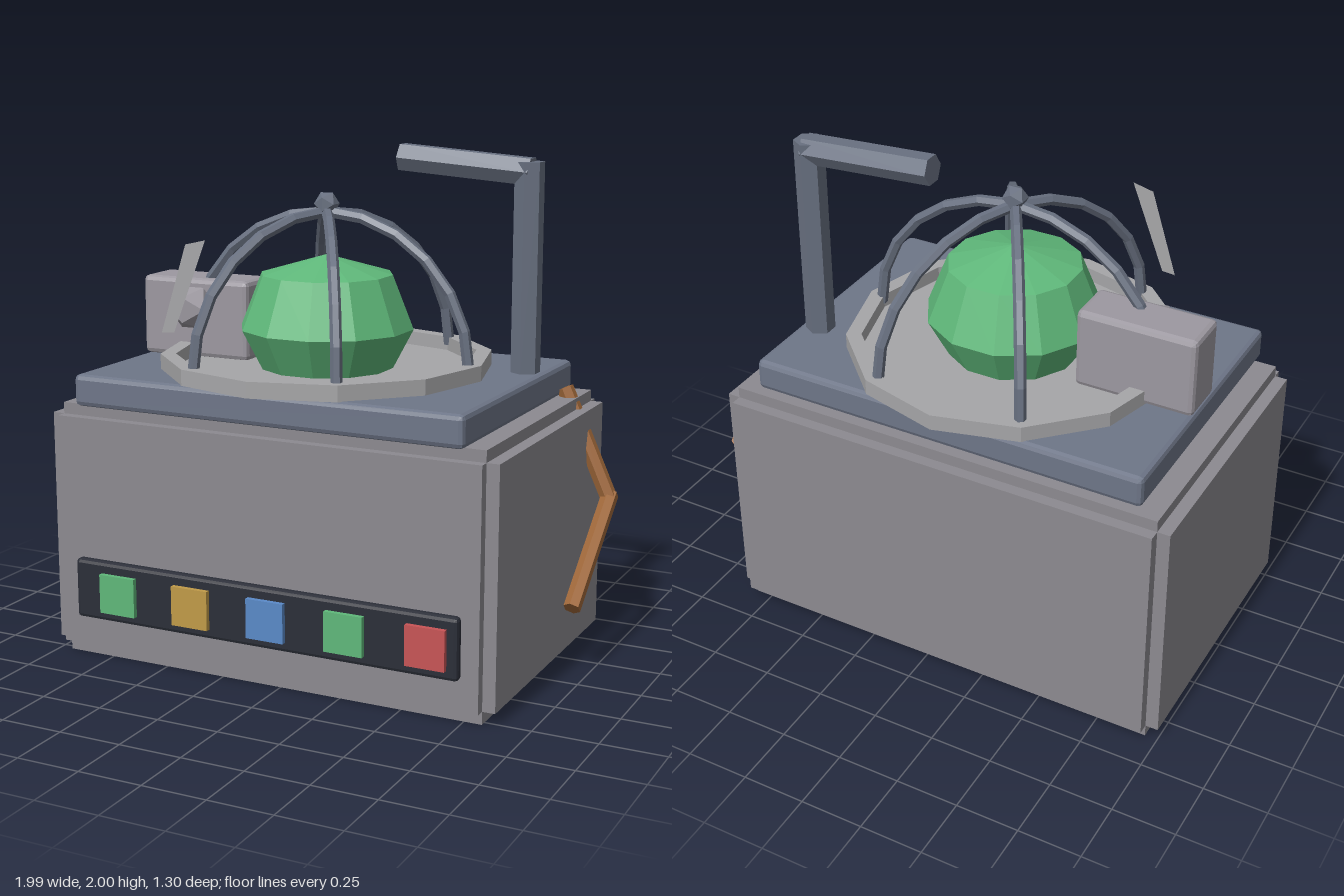
import * as THREE from 'three';
import { RoundedBoxGeometry } from 'three/addons/geometries/RoundedBoxGeometry.js';

const CX = -0.065; // axis of the dome and cabinet

const paint = (color, side = THREE.FrontSide) =>
  new THREE.MeshStandardMaterial({ color, side, flatShading: true });

const mats = {
  body: paint(0x8c8a90), slab: paint(0x6e7688), steel: paint(0x687080),
  dish: paint(0xa6a6a8, THREE.DoubleSide), box: paint(0x9c98a0),
  panel: paint(0x2b2e38), brown: paint(0xa0683a), green: paint(0x5fb87a),
  yellow: paint(0xc09a48), blue: paint(0x5a8ac8), red: paint(0xc85456),
};

export function createModel() {
  const group = new THREE.Group();

  const add = (name, geometry, mat, x = 0, y = 0, z = 0, parent = group) => {
    const mesh = new THREE.Mesh(geometry, mat);
    mesh.name = name;
    mesh.position.set(x, y, z);
    parent.add(mesh);
    return mesh;
  };

  // box given by its min and max corners, chamfered when bevel > 0
  const box = (name, mat, [x0, y0, z0], [x1, y1, z1], bevel = 0, parent = group) => {
    const size = [x1 - x0, y1 - y0, z1 - z0];
    const geo = bevel ? new RoundedBoxGeometry(...size, 1, bevel) : new THREE.BoxGeometry(...size);
    return add(name, geo, mat, (x0 + x1) / 2, (y0 + y1) / 2, (z0 + z1) / 2, parent);
  };

  // hexagonal bar between two points
  const bar = (name, mat, a, b, r) => {
    const p = new THREE.Vector3(...a), q = new THREE.Vector3(...b);
    const dir = q.clone().sub(p);
    const mesh = add(name, new THREE.CylinderGeometry(r, r, dir.length(), 6), mat);
    mesh.position.copy(p).add(q).multiplyScalar(0.5);
    mesh.quaternion.setFromUnitVectors(new THREE.Vector3(0, 1, 0), dir.normalize());
    return mesh;
  };

  // cabinet: three crossing boxes leave stepped edges
  const cabinet = new THREE.Group();
  cabinet.name = 'cabinet';
  group.add(cabinet);
  box('cabinetWide', mats.body, [-1, 0.05, -0.605], [0.87, 0.97, 0.525], 0, cabinet);
  box('cabinetDeep', mats.body, [-0.95, 0.05, -0.65], [0.82, 0.97, 0.565], 0, cabinet);
  box('cabinetTall', mats.body, [-0.95, 0, -0.605], [0.82, 1.015, 0.525], 0, cabinet);

  // top slab
  box('topSlab', mats.slab, [-0.87, 1.015, -0.57], [0.75, 1.14, 0.57], 0.02);

  // control panel with five buttons
  box('controlPanel', mats.panel, [-0.87, 0.17, 0.55], [0.75, 0.41, 0.595], 0.015);
  ['green', 'yellow', 'blue', 'green', 'red'].forEach((c, i) => {
    const x = -0.67 + i * 0.325;
    box('button', mats[c], [x - 0.078, 0.21, 0.58], [x + 0.078, 0.365, 0.615]);
  });

  // shallow twelve-sided dish with raised rim
  const rim = [[0, 1.138], [0.65, 1.138], [0.65, 1.2], [0.59, 1.2], [0.59, 1.145], [0, 1.145]];
  add('dish', new THREE.LatheGeometry(rim.map(p => new THREE.Vector2(...p)), 12), mats.dish, CX);

  // faceted dome
  const dome = [[0.26, 1.14], [0.343, 1.3], [0.26, 1.51], [0, 1.585]];
  add('dome', new THREE.LatheGeometry(dome.map(p => new THREE.Vector2(...p)), 12, Math.PI / 12),
    mats.green, CX);

  // cage of six bent ribs and a finial
  const rib = new THREE.CurvePath();
  const ribPoints = [];
  for (let i = 0; i <= 6; i++) {
    const a = (i / 6) * Math.PI / 2;
    ribPoints.push(new THREE.Vector3(0.6 * Math.cos(a), 1.17 + 0.58 * Math.sin(a), 0));
  }
  for (let i = 0; i < 6; i++) rib.add(new THREE.LineCurve3(ribPoints[i], ribPoints[i + 1]));
  const ribGeo = new THREE.TubeGeometry(new THREE.CatmullRomCurve3(ribPoints), 6, 0.022, 6);
  for (let i = 0; i < 6; i++) add('cageRib', ribGeo, mats.steel, CX).rotation.y = i * Math.PI / 3;
  add('finial', new THREE.IcosahedronGeometry(0.05), mats.steel, CX, 1.78, 0);

  // motor box with faceted knob
  box('motorBox', mats.box, [-0.87, 1.14, -0.14], [-0.39, 1.46, 0.06], 0.02);
  add('knob', new THREE.IcosahedronGeometry(0.097), mats.box, -0.63, 1.345, 0.075);

  // thin slanted strip beside the cage
  const strip = new THREE.Shape([[-0.51, 1.32], [-0.455, 1.325], [-0.315, 1.68], [-0.4, 1.66]]
    .map(p => new THREE.Vector2(...p)));
  add('strip', new THREE.ShapeGeometry(strip), mats.dish, 0, 0, 0.5);

  // post with overhead arm
  bar('post', mats.steel, [0.67, 1.13, -0.245], [0.67, 1.95, -0.245], 0.058);
  bar('arm', mats.steel, [0.14, 1.95, -0.245], [0.68, 1.912, -0.245], 0.058);

  // bent side hose
  bar('hoseUpper', mats.brown, [0.765, 1.05, -0.445], [0.96, 0.62, -0.445], 0.034);
  bar('hoseLower', mats.brown, [0.96, 0.635, -0.46], [0.955, 0.285, -0.04], 0.034);

  return group;
}
